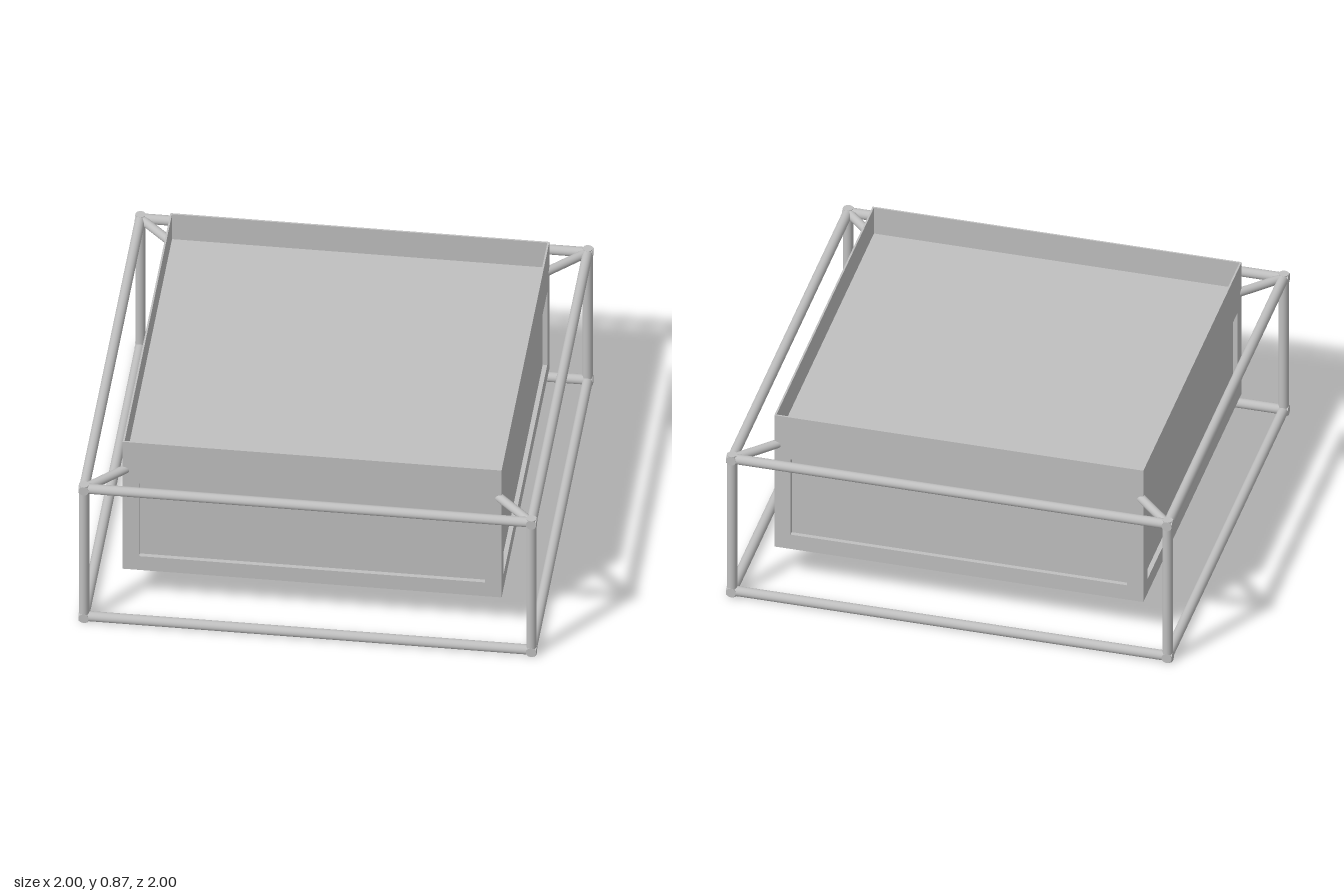
import * as THREE from 'three';

export function createModel() {
  const model = new THREE.Group();
  model.name = 'framedBox';
  const metal = new THREE.MeshStandardMaterial({ color: 0xbfbfbf });
  metal.name = 'grey metal';

  const H = 0.828;                       // half width of the box
  const BASE = 0.18, TRAY = 0.735, TOP = 0.87;
  const R = 0.0225;                      // frame tube radius
  const C = 1 - R;                       // tube centre line
  const LOW = R, HIGH = 0.715;

  function box(parent, name, w, h, d, x, y, z) {
    const mesh = new THREE.Mesh(new THREE.BoxGeometry(w, h, d), metal);
    mesh.name = name;
    mesh.position.set(x, y, z);
    parent.add(mesh);
  }

  function tube(name, a, b, radius = R) {
    const from = new THREE.Vector3(...a), to = new THREE.Vector3(...b);
    const dir = to.clone().sub(from);
    const mesh = new THREE.Mesh(new THREE.CylinderGeometry(radius, radius, dir.length(), 24), metal);
    mesh.name = name;
    mesh.position.copy(from).add(to).multiplyScalar(0.5);
    mesh.quaternion.setFromUnitVectors(new THREE.Vector3(0, 1, 0), dir.normalize());
    model.add(mesh);
  }

  // Closed core: its top is the sunken tray, its sides the recessed panels
  const inner = H - 0.02;
  box(model, 'core', inner * 2, TRAY - BASE - 0.004, inner * 2, 0, (TRAY + BASE + 0.004) / 2, 0);

  // Four sides, each a bordered panel with a thin raised rim above
  for (let i = 0; i < 4; i++) {
    const side = new THREE.Group();
    side.name = 'side' + (i + 1);
    side.rotation.y = i * Math.PI / 2;

    const border = new THREE.Shape();
    border.moveTo(-H, BASE).lineTo(H, BASE).lineTo(H, TRAY).lineTo(-H, TRAY).closePath();
    const opening = new THREE.Path();
    opening.moveTo(-0.755, 0.255).lineTo(-0.755, 0.65).lineTo(0.755, 0.65).lineTo(0.755, 0.255).closePath();
    border.holes.push(opening);
    const borderMesh = new THREE.Mesh(
      new THREE.ExtrudeGeometry(border, { depth: 0.02, bevelEnabled: false }), metal);
    borderMesh.name = 'panelBorder';
    borderMesh.position.z = inner;
    side.add(borderMesh);

    box(side, 'rim', H * 2, TOP - TRAY, 0.008, 0, (TOP + TRAY) / 2, H - 0.004);
    model.add(side);
  }

  // Outer tubular frame
  for (const s of [-1, 1]) {
    for (const y of [LOW, HIGH]) {
      tube('frameRailAcross', [-1, y, s * C], [1, y, s * C]);
      tube('frameRailAlong', [s * C, y, -1], [s * C, y, 1]);
    }
    for (const t of [-1, 1]) {
      tube('framePost', [s * C, 0, t * C], [s * C, HIGH + R, t * C]);
      // Diagonal strut that carries the box at each corner
      tube('cornerStrut', [s * C, HIGH, t * C], [s * 0.79, HIGH, t * 0.79], 0.02);
    }
  }
  return model;
}
